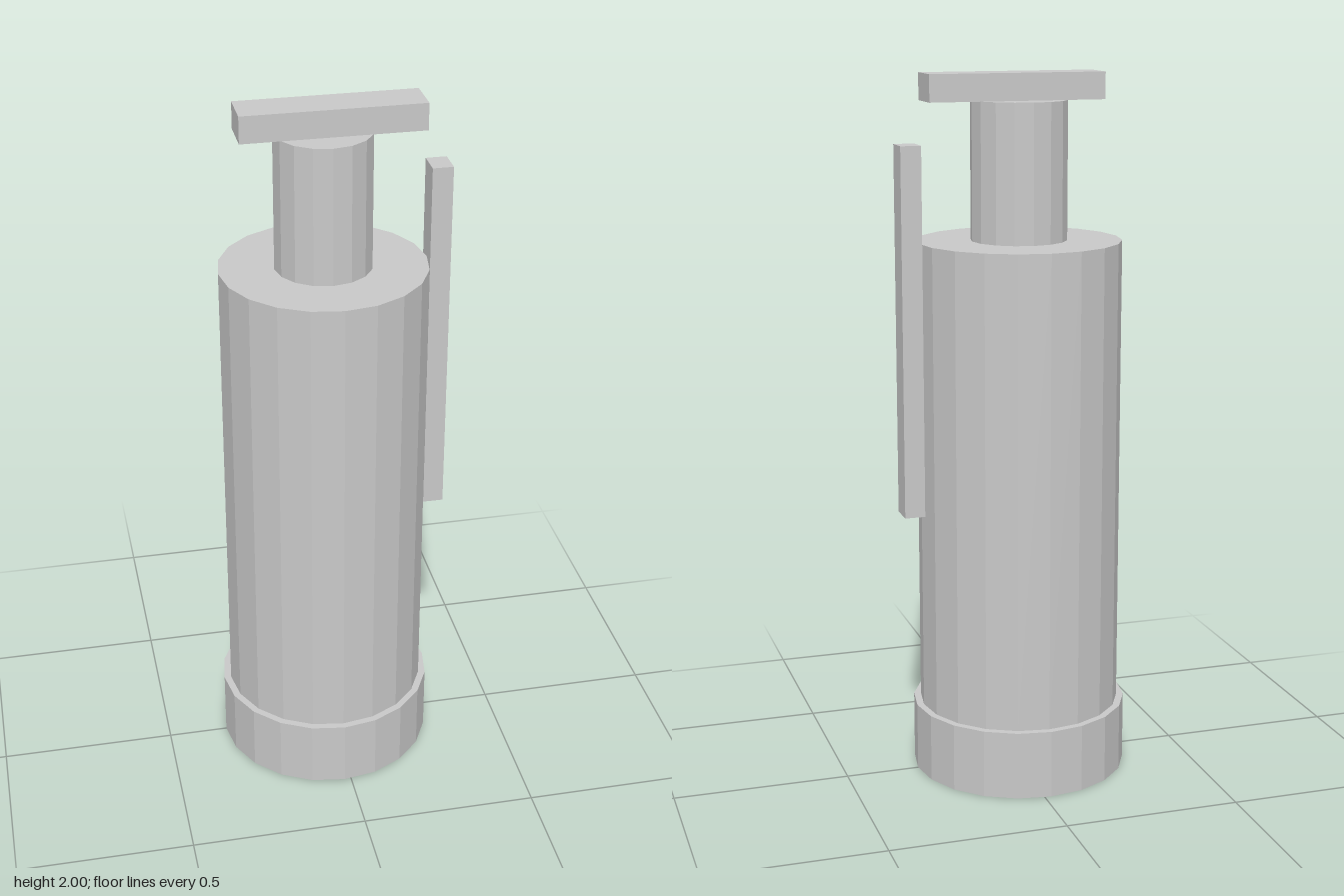
import * as THREE from 'three';

export function createModel() {
  const model = new THREE.Group();
  const grey = new THREE.MeshStandardMaterial({ color: 0xc8c8c8, flatShading: true });
  grey.name = 'lightGrey';

  const axisX = -0.019; // the canister sits slightly off centre to leave room for the lever

  function add(name, geometry, x, bottom, top) {
    const mesh = new THREE.Mesh(geometry, grey);
    mesh.name = name;
    mesh.position.set(x, (bottom + top) / 2, 0);
    model.add(mesh);
  }
  const drum = (name, radius, sides, bottom, top) =>
    add(name, new THREE.CylinderGeometry(radius, radius, top - bottom, sides), axisX, bottom, top);
  const block = (name, width, depth, x, bottom, top) =>
    add(name, new THREE.BoxGeometry(width, top - bottom, depth), x, bottom, top);

  // Stacked canister
  drum('baseRing', 0.308, 20, 0, 0.195);
  drum('body', 0.288, 20, 0.195, 1.54);
  drum('neck', 0.135, 16, 1.54, 1.925);

  // Top bar and side lever
  block('topBar', 0.5, 0.115, 0, 1.925, 2);
  block('sideLever', 0.058, 0.077, 0.298, 0.772, 1.81);

  return model;
}
